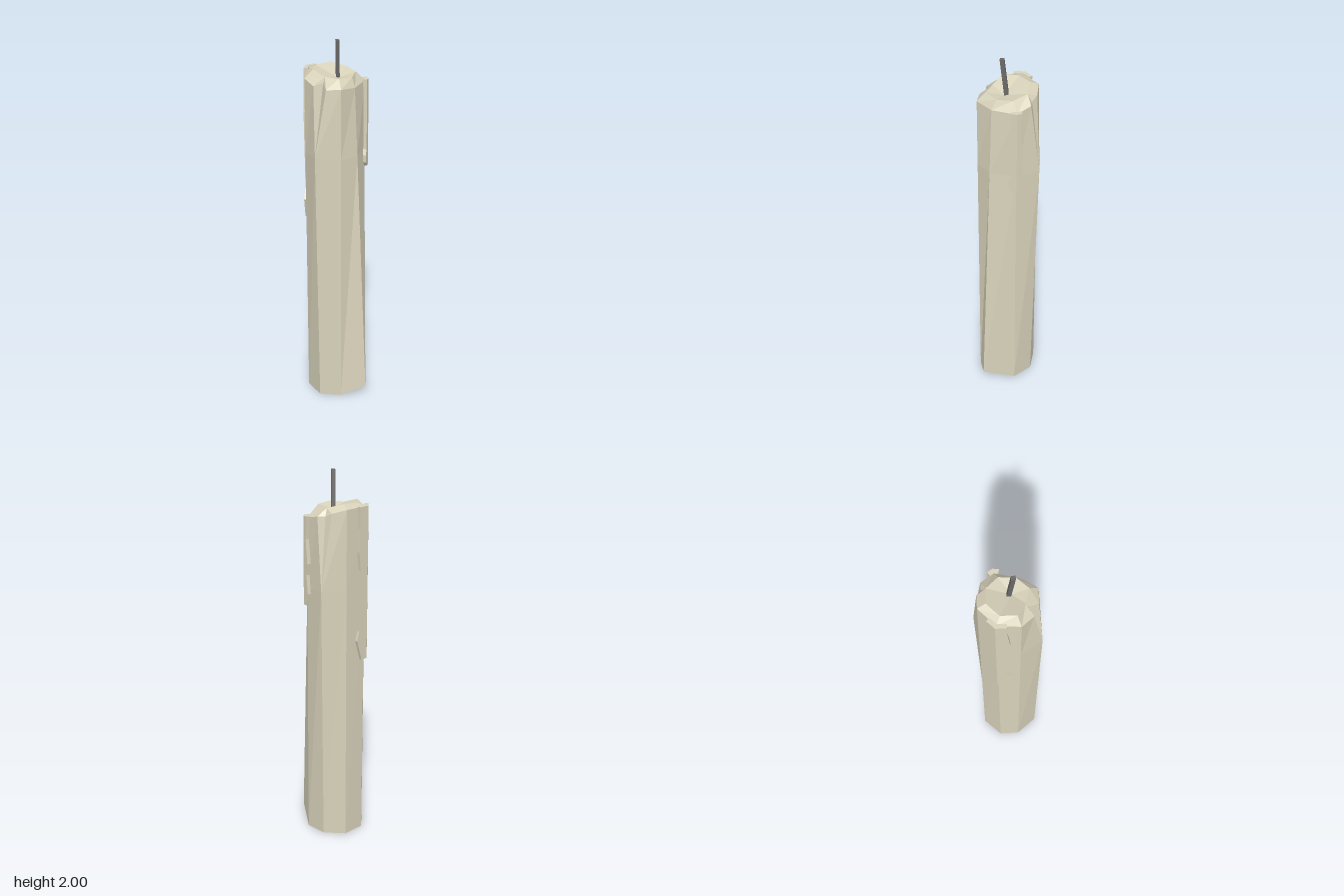
import * as THREE from 'three';

const wax = new THREE.MeshStandardMaterial({ color: 0xd8d2ba });
wax.name = 'cream wax';
const char = new THREE.MeshStandardMaterial({ color: 0x6a6866 });
char.name = 'charred wick';

const P = (x, y, z) => new THREE.Vector3(x, y, z);

// Skin closed cross-sections (bottom to top, anticlockwise from above) with faceted sides and fan caps
function loft(rows, bottom, top) {
  const pos = [];
  const tri = (a, b, c) => {
    const area = b.clone().sub(a).cross(c.clone().sub(a)).length();
    if (area > 1e-7) for (const p of [a, b, c]) pos.push(p.x, p.y, p.z);
  };
  const n = rows[0].length;
  const last = rows[rows.length - 1];
  for (let i = 0; i < n; i++) {
    const j = (i + 1) % n;
    for (let r = 0; r + 1 < rows.length; r++) {
      tri(rows[r][i], rows[r][j], rows[r + 1][j]);
      tri(rows[r][i], rows[r + 1][j], rows[r + 1][i]);
    }
    tri(rows[0][j], rows[0][i], bottom);
    tri(last[i], last[j], top);
  }
  const g = new THREE.BufferGeometry();
  g.setAttribute('position', new THREE.Float32BufferAttribute(pos, 3));
  g.computeVertexNormals();
  return g;
}

function part(name, geometry, material) {
  const mesh = new THREE.Mesh(geometry, material);
  mesh.name = name;
  return mesh;
}

// Corners run anticlockwise from the back; two corners triple up so their tops can be dented
const leftMid = P(-0.178, 1.41, 0.028), rightMid = P(0.178, 1.4, -0.085);
const leftBase = P(-0.155, 0, 0.03), rightBase = P(0.15, 0, -0.07);
const leftPool = P(-0.086, 1.82, 0), rightPool = P(0.108, 1.83, -0.06);

const base = [
  P(-0.05, 0, -0.17), P(-0.13, 0, -0.1), leftBase, leftBase, leftBase, P(-0.075, 0, 0.115),
  P(0.04, 0.05, 0.192), P(0.145, 0, 0.05), rightBase, rightBase, rightBase, P(0.075, 0, -0.165),
];
const rim = [
  P(-0.05, 1.83, -0.178), P(-0.14, 1.8, -0.1), P(-0.15, 1.78, -0.015), P(-0.1, 1.79, 0.003),
  P(-0.125, 1.77, 0.055), P(-0.075, 1.775, 0.115), P(0.025, 1.765, 0.105), P(0.145, 1.77, 0.045),
  P(0.157, 1.79, -0.04), P(0.13, 1.79, -0.07), P(0.125, 1.81, -0.11), P(0.075, 1.83, -0.167),
];
const pool = [
  P(-0.035, 1.845, -0.134), P(-0.1, 1.845, -0.08), leftPool, leftPool, leftPool, P(-0.054, 1.82, 0.072),
  P(0.03, 1.815, 0.077), P(0.1, 1.82, 0.025), rightPool, rightPool, rightPool, P(0.055, 1.85, -0.127),
];
const edgeAt = (i, y) => base[i].clone().lerp(rim[i], (y - base[i].y) / (rim[i].y - base[i].y));
const shoulder = base.map((p, i) => {
  if (i >= 2 && i <= 4) return leftMid;
  if (i >= 8 && i <= 10) return rightMid;
  return edgeAt(i, 1.4);
});

// Wax run folded over a corner; each row is [height, width before corner, width after corner]
function drip(corner, before, after, thick, rows) {
  const mid = shoulder[corner];
  const flat = (v) => v.clone().sub(mid).setY(0).normalize();
  const d0 = flat(shoulder[before]), d1 = flat(shoulder[after]);
  const n0 = P(d0.z, 0, -d0.x), n1 = P(-d1.z, 0, d1.x);
  const mitre = n0.clone().add(n1).divideScalar(1 + n0.dot(n1));
  const at = (c, d, w, n, t) => c.clone().addScaledVector(d, w).addScaledVector(n, t);
  const sections = rows.map(([y, w0, w1]) => {
    const c = edgeAt(corner, y);
    return [
      at(c, d0, w0, n0, -0.006), at(c, d0, w0, n0, thick), at(c, d0, 0, mitre, thick),
      at(c, d1, w1, n1, thick), at(c, d1, w1, n1, -0.006), at(c, d0, 0, mitre, -0.006),
    ];
  });
  const end = (y) => edgeAt(corner, y);
  return loft(sections, end(rows[0][0]), end(rows[rows.length - 1][0]));
}

export function createModel() {
  const candle = new THREE.Group();
  candle.name = 'candle';

  // Body with bevelled rim and shallow melt pool
  candle.add(part('candleBody',
    loft([base, shoulder, rim, pool], P(0.06, 0, 0.1), P(0, 1.8, 0)), wax));

  // Short run at the right, long run at the back
  candle.add(part('shortDrip', drip(7, 6, 8, 0.018, [
    [1.305, 0.012, 0.02], [1.33, 0.034, 0.026], [1.37, 0.036, 0.034], [1.4, 0.024, 0.03],
    [1.47, 0.022, 0.02], [1.53, 0.022, 0.03], [1.66, 0.024, 0.014], [1.78, 0.026, 0.024],
  ]), wax));
  candle.add(part('longDrip', drip(0, 11, 1, 0.017, [
    [1.01, 0.03, 0.05], [1.12, 0.062, 0.084], [1.17, 0.048, 0.04], [1.31, 0.045, 0.045],
    [1.5, 0.042, 0.058], [1.6, 0.052, 0.064], [1.72, 0.046, 0.052], [1.835, 0.05, 0.05],
  ]), wax));

  // Leaning square wick
  const square = (x, y, z) => [[0, -1], [-1, 0.1], [0, 1], [1, -0.1]]
    .map(([a, b]) => P(x + a * 0.014, y, z + b * 0.016));
  candle.add(part('wick', loft(
    [square(0.009, 1.79, -0.011), square(-0.008, 2, 0.005)],
    P(0.009, 1.79, -0.011), P(-0.008, 2, 0.005)), char));

  return candle;
}
